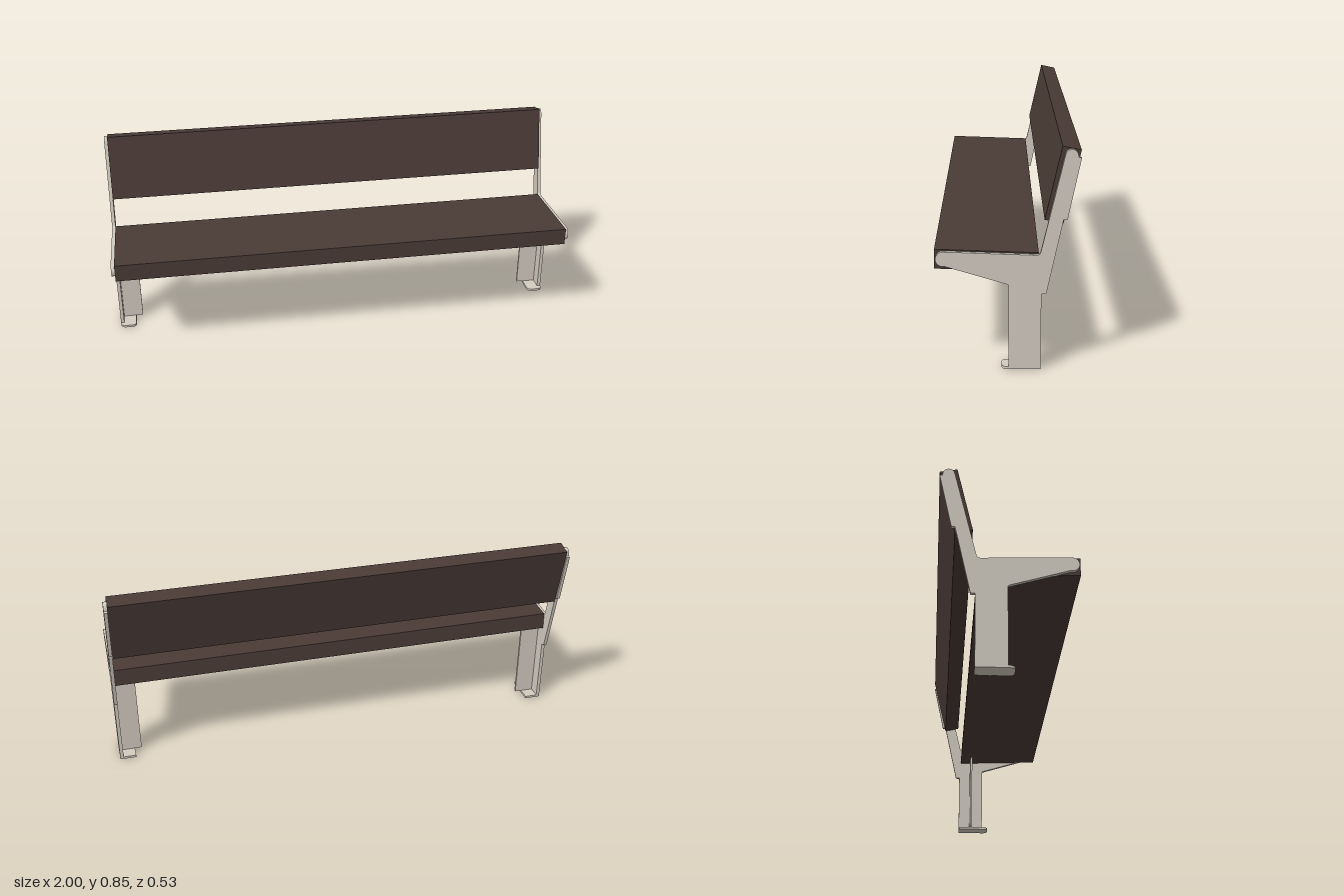
import * as THREE from 'three';

const METAL = new THREE.MeshStandardMaterial({ color: 0xd2cbc0 });
const WOOD = new THREE.MeshStandardMaterial({ color: 0x4a3b36 });
const PLATE = 0.015; // side plate thickness

// Extrudes a (z, y) outline across x, from x0 to x1.
function acrossX(name, shape, x0, x1, material) {
  const geo = new THREE.ExtrudeGeometry(shape, { depth: x1 - x0, bevelEnabled: false, curveSegments: 12 });
  geo.rotateY(-Math.PI / 2).translate(x1, 0, 0);
  const mesh = new THREE.Mesh(geo, material);
  mesh.name = name;
  return mesh;
}

const polygon = (pts) => new THREE.Shape(pts.map(([a, b]) => new THREE.Vector2(a, b)));

// Leg, seat arm and back post cut from one plate.
function plateShape() {
  const s = new THREE.Shape();
  s.moveTo(-0.125, 0);
  s.lineTo(-0.005, 0);
  s.lineTo(-0.005, 0.328);
  s.quadraticCurveTo(-0.005, 0.333, 0.0, 0.335);
  s.lineTo(0.227, 0.404);
  s.absarc(0.235, 0.432, 0.028, -1.85, 1.6, false); // rounded arm tip
  s.lineTo(-0.108, 0.447);
  s.quadraticCurveTo(-0.119, 0.447, -0.122, 0.46);
  s.lineTo(-0.207, 0.822);
  s.absarc(-0.23, 0.818, 0.023, 0.2, Math.PI - 0.15, false); // rounded post top
  s.lineTo(-0.254, 0.812);
  s.lineTo(-0.265, 0.81);
  s.lineTo(-0.218, 0.585);
  s.quadraticCurveTo(-0.217, 0.58, -0.212, 0.58);
  s.lineTo(-0.203, 0.58);
  s.lineTo(-0.144, 0.303);
  s.quadraticCurveTo(-0.143, 0.297, -0.138, 0.297);
  s.lineTo(-0.125, 0.297);
  return s;
}

// Base plate with a rounded front end.
function footMesh(side) {
  const s = new THREE.Shape();
  s.moveTo(side, -0.125);
  s.lineTo(side, -0.005);
  s.quadraticCurveTo(side, 0.021, side * 0.975, 0.021);
  s.lineTo(side * 0.95, 0.021);
  s.quadraticCurveTo(side * 0.93, 0.021, side * 0.93, 0.0);
  s.lineTo(side * 0.93, -0.125);
  const geo = new THREE.ExtrudeGeometry(s, { depth: 0.01, bevelEnabled: false });
  geo.rotateX(Math.PI / 2).translate(0, 0.01, 0);
  const mesh = new THREE.Mesh(geo, METAL);
  mesh.name = 'foot';
  return mesh;
}

function endFrame(side) {
  const frame = new THREE.Group();
  frame.name = side > 0 ? 'leftFrame' : 'rightFrame';
  const inner = 1 - PLATE;
  frame.add(acrossX('sidePlate', plateShape(), side > 0 ? inner : -1, side > 0 ? 1 : -inner, METAL));

  // Stiffening web down the middle of the leg, reaching up to the seat
  const web = new THREE.Mesh(new THREE.BoxGeometry(inner - 0.9, 0.375, 0.01), METAL);
  web.name = 'legWeb';
  web.position.set(side * (0.9 + inner) / 2, 0.01 + 0.375 / 2, -0.065);
  frame.add(web, footMesh(side));
  return frame;
}

export function createModel() {
  const bench = new THREE.Group();
  bench.name = 'bench';
  bench.add(endFrame(1), endFrame(-1));

  // Slightly tilted seat and leaning backrest boards between the frames
  const x = 1 - PLATE;
  const seat = polygon([[0.267, 0.392], [0.267, 0.466], [-0.115, 0.452], [-0.118, 0.378]]);
  const back = polygon([[-0.135, 0.577], [-0.197, 0.85], [-0.265, 0.836], [-0.203, 0.562]]);
  bench.add(acrossX('seat', seat, -x, x, WOOD), acrossX('backrest', back, -x, x, WOOD));
  return bench;
}
